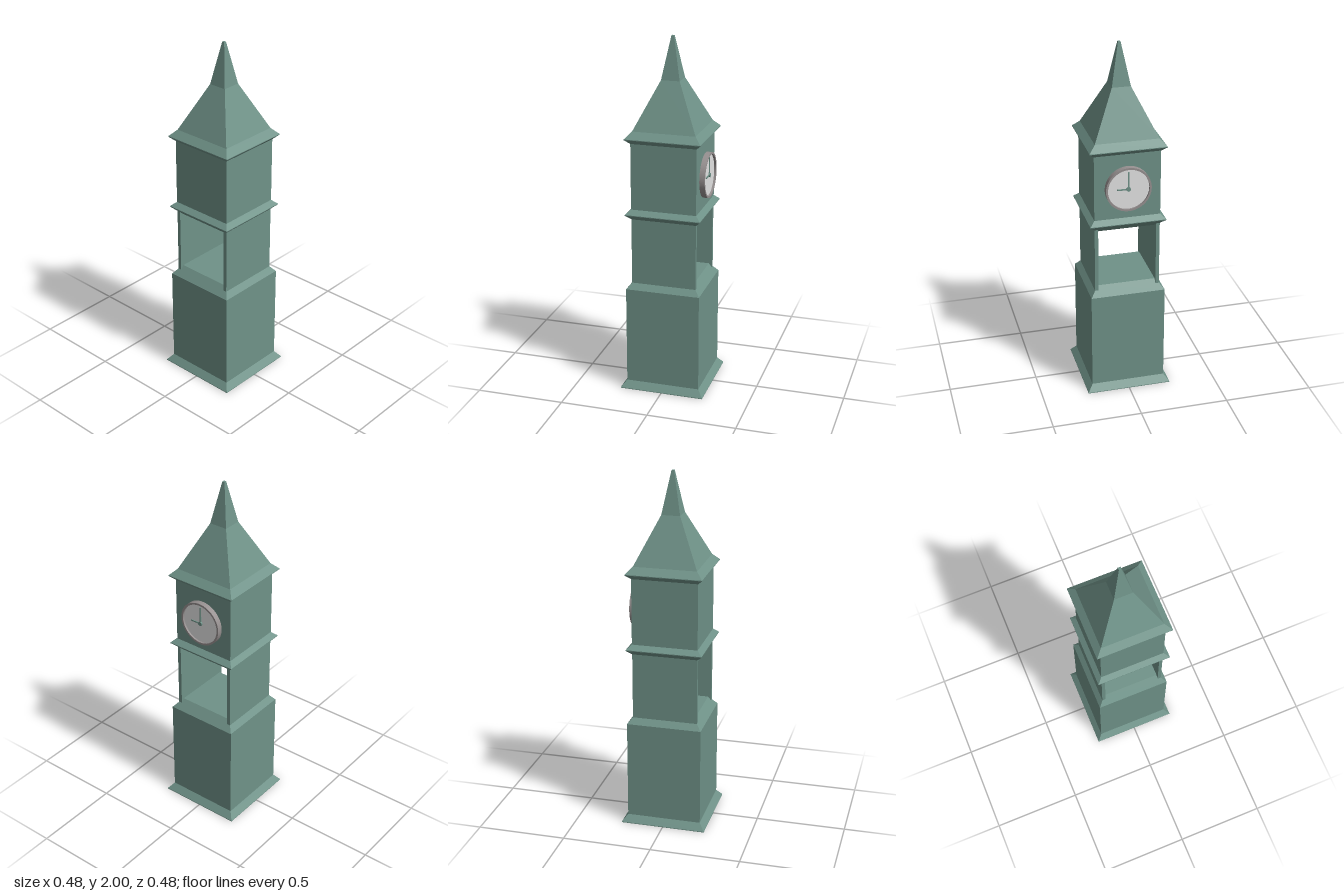
import * as THREE from 'three';

export function createModel() {
  const model = new THREE.Group();
  const stone = new THREE.MeshStandardMaterial({ color: 0x6f9288, flatShading: true });
  stone.name = 'greenStone';
  const rimGrey = new THREE.MeshStandardMaterial({ color: 0x969090 });
  rimGrey.name = 'rimGrey';
  const dialWhite = new THREE.MeshStandardMaterial({ color: 0xe4e4e4 });
  dialWhite.name = 'dialWhite';

  const add = (parent, name, geometry, material, x = 0, y = 0, z = 0) => {
    const mesh = new THREE.Mesh(geometry, material);
    mesh.name = name;
    mesh.position.set(x, y, z);
    parent.add(mesh);
    return mesh;
  };

  // Square tower section from [half width, height] pairs, closed at both ends
  const section = (name, profile) => {
    const pts = [[0, profile[0][1]], ...profile, [0, profile[profile.length - 1][1]]]
      .map(([half, y]) => new THREE.Vector2(half * Math.SQRT2, y));
    add(model, name, new THREE.LatheGeometry(pts, 4, Math.PI / 4), stone);
  };

  // Plinth, base block and its sloped shoulder
  section('base', [[0.24, 0], [0.24, 0.004], [0.21, 0.042], [0.21, 0.602], [0.165, 0.657]]);

  // Two walls either side of the open passage
  for (const side of [-1, 1]) {
    add(model, side > 0 ? 'frontWall' : 'backWall',
      new THREE.BoxGeometry(0.366, 0.41, 0.02), stone, 0, 0.825, side * 0.173);
  }

  // Clock storey with flared ledges, then the spire
  section('clockStorey', [
    [0.165, 0.992], [0.212, 1.037], [0.212, 1.041], [0.184, 1.066], [0.184, 1.44],
  ]);
  section('spire', [
    [0.184, 1.438], [0.212, 1.464], [0.212, 1.468], [0.176, 1.505], [0.052, 1.765], [0.007, 2],
  ]);

  // Clock on the +x side
  const clock = new THREE.Group();
  clock.name = 'clock';
  clock.position.set(0.182, 1.243, 0);
  model.add(clock);

  const rimShape = new THREE.Shape().absarc(0, 0, 0.126, 0, Math.PI * 2);
  rimShape.holes.push(new THREE.Path().absarc(0, 0, 0.115, 0, Math.PI * 2, true));
  const rim = new THREE.ExtrudeGeometry(rimShape, { depth: 0.032, bevelEnabled: false, curveSegments: 48 });
  add(clock, 'clockRim', rim.rotateY(Math.PI / 2), rimGrey);

  const disc = (radius, depth) => new THREE.CylinderGeometry(radius, radius, depth, 48).rotateZ(-Math.PI / 2);
  add(clock, 'clockDial', disc(0.116, 0.02), dialWhite, 0.011);
  add(clock, 'clockHub', disc(0.012, 0.01), stone, 0.025);
  add(clock, 'minuteHand', new THREE.BoxGeometry(0.005, 0.1, 0.007), stone, 0.024, 0.05, 0);
  add(clock, 'hourHand', new THREE.BoxGeometry(0.005, 0.007, 0.062), stone, 0.024, 0, 0.031);

  return model;
}
